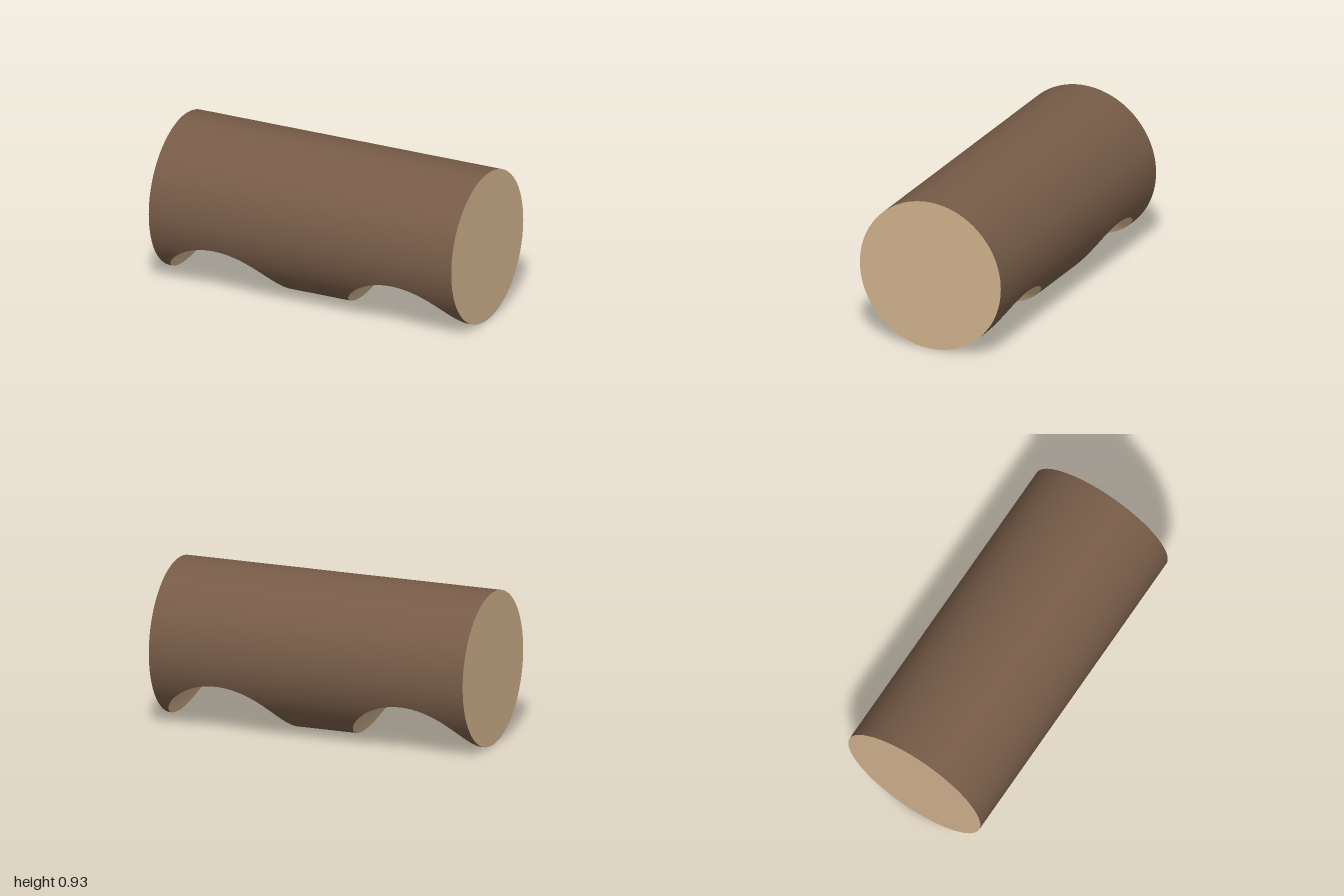
import * as THREE from 'three';

const R = 0.4665;            // log radius
const NOTCH_X = 0.5875;      // notch centre distance from the middle
const HALF = 0.4075;         // half the notch width at the underside
const DEPTH = 0.297;         // notch height
const NOTCH_R = (HALF * HALF + DEPTH * DEPTH) / (2 * DEPTH);
const NOTCH_Y = DEPTH - NOTCH_R;

const bark = new THREE.MeshStandardMaterial({ color: 0x765b47 });
const wood = new THREE.MeshStandardMaterial({ color: 0xcfb18c });

// Height of the cut above the ground at x (0 outside the notches)
function cutHeight(x) {
  const d = Math.abs(x) - NOTCH_X;
  return Math.abs(d) >= HALF ? 0 : Math.max(0, NOTCH_Y + Math.sqrt(NOTCH_R * NOTCH_R - d * d));
}

// Stations across one notch, denser towards its ends
function notchStations(side, n = 72) {
  return Array.from({ length: n + 1 }, (_, i) => side * NOTCH_X - HALF * Math.cos(Math.PI * i / n));
}

// Smooth surface through rows at the given x stations; rule(x, t) returns [point, normal]
function loft(stations, n, rule) {
  const position = [], normal = [], index = [];
  stations.forEach((x, i) => {
    for (let j = 0; j <= n; j++) {
      const [p, q] = rule(x, j / n);
      position.push(...p);
      normal.push(...q);
      if (i && j) {
        const d = i * (n + 1) + j, c = d - 1, b = d - n - 1, a = b - 1;
        index.push(a, c, b, b, c, d);
      }
    }
  });
  const g = new THREE.BufferGeometry();
  g.setAttribute('position', new THREE.Float32BufferAttribute(position, 3));
  g.setAttribute('normal', new THREE.Float32BufferAttribute(normal, 3));
  g.setIndex(index);
  return g;
}

export function createModel() {
  const group = new THREE.Group();
  group.name = 'notchedLog';
  const add = (name, geometry, material) => {
    const mesh = new THREE.Mesh(geometry, material);
    mesh.name = name;
    group.add(mesh);
    return mesh;
  };

  // Bark: round shell, opened along the underside where the notches cut in
  const stations = [-1, ...notchStations(-1), ...notchStations(1), 1];
  add('bark', loft(stations, 96, (x, t) => {
    const open = Math.acos(1 - cutHeight(x) / R);
    const a = open + t * 2 * (Math.PI - open);
    const c = Math.cos(a), s = Math.sin(a);
    return [[x, R - R * c, R * s], [0, -c, s]];
  }), bark);

  for (const side of [-1, 1]) {
    const label = side > 0 ? 'left' : 'right';

    // Notch: bare wood saddle cut across the log
    add(label + 'Notch', loft(notchStations(side), 16, (x, t) => {
      const y = cutHeight(x);
      const w = Math.sqrt(Math.max(0, R * R - (R - y) * (R - y)));
      return [[x, y, w * (2 * t - 1)],
        [(side * NOTCH_X - x) / NOTCH_R, (NOTCH_Y - y) / NOTCH_R, 0]];
    }), wood);

    // Sawn end face
    const end = add(label + 'End', new THREE.CircleGeometry(R, 96), wood);
    end.rotation.y = side * Math.PI / 2;
    end.position.set(side, R, 0);
  }
  return group;
}
